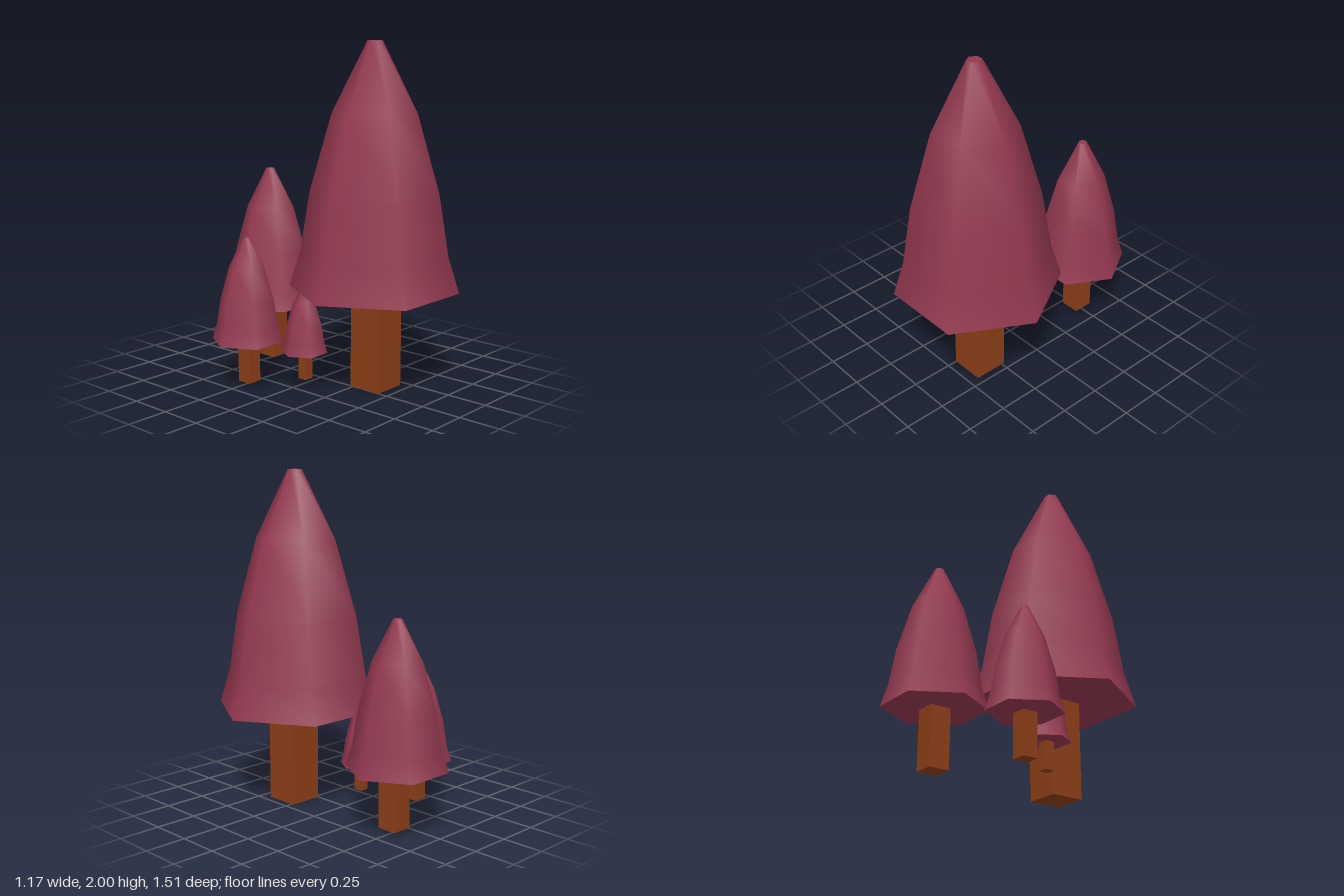
import * as THREE from 'three';

const foliage = new THREE.MeshStandardMaterial({ color: 0x93384f });
const bark = new THREE.MeshStandardMaterial({ color: 0x8b3e17 });

const CROWN_BASE = 0.58, CROWN_TOP = 2;
// Crown profile (radius, height), bottom to top
const PROFILE = [[0.495, CROWN_BASE], [0.43, 0.79], [0.373, 1.145], [0.245, 1.595], [0.043, CROWN_TOP]]
  .map(([r, y]) => new THREE.Vector2(r, y));

function add(parent, name, geometry, material) {
  const mesh = new THREE.Mesh(geometry, material);
  mesh.name = name;
  parent.add(mesh);
  return mesh;
}

// Full-size tree with its crown axis on the origin
function makeTree(name) {
  const tree = new THREE.Group();
  tree.name = name;

  // Six-sided crown, smooth around, with a corner on +x
  add(tree, 'crown', new THREE.LatheGeometry(PROFILE, 6, Math.PI / 6), foliage);

  // Flat hexagons closing the crown
  const underside = add(tree, 'crownUnderside', new THREE.CircleGeometry(PROFILE[0].x, 6), foliage);
  underside.rotation.x = Math.PI / 2;
  underside.position.y = CROWN_BASE;
  const tip = add(tree, 'crownTip', new THREE.CircleGeometry(PROFILE[4].x, 6), foliage);
  tip.rotation.x = -Math.PI / 2;
  tip.position.y = CROWN_TOP;

  // Square trunk, slightly off the crown axis
  const trunk = add(tree, 'trunk', new THREE.BoxGeometry(0.207, CROWN_BASE, 0.207), bark);
  trunk.position.set(0.015, CROWN_BASE / 2, 0.013);
  return tree;
}

export function createModel() {
  const model = new THREE.Group();
  model.name = 'treeGroup';
  // The same tree at four sizes: name, scale, position
  const trees = [
    ['largeTree', 1, 0.087, 0, 0.323],
    ['mediumTree', 0.596, 0.09, 0.024, -0.502],
    ['smallTree', 0.43, -0.376, 0.021, -0.241],
    ['tinyTree', 0.278, -0.193, 0.053, 0.041],
  ];
  for (const [name, scale, x, y, z] of trees) {
    const tree = makeTree(name);
    tree.scale.setScalar(scale);
    tree.position.set(x, y, z);
    model.add(tree);
  }
  return model;
}
